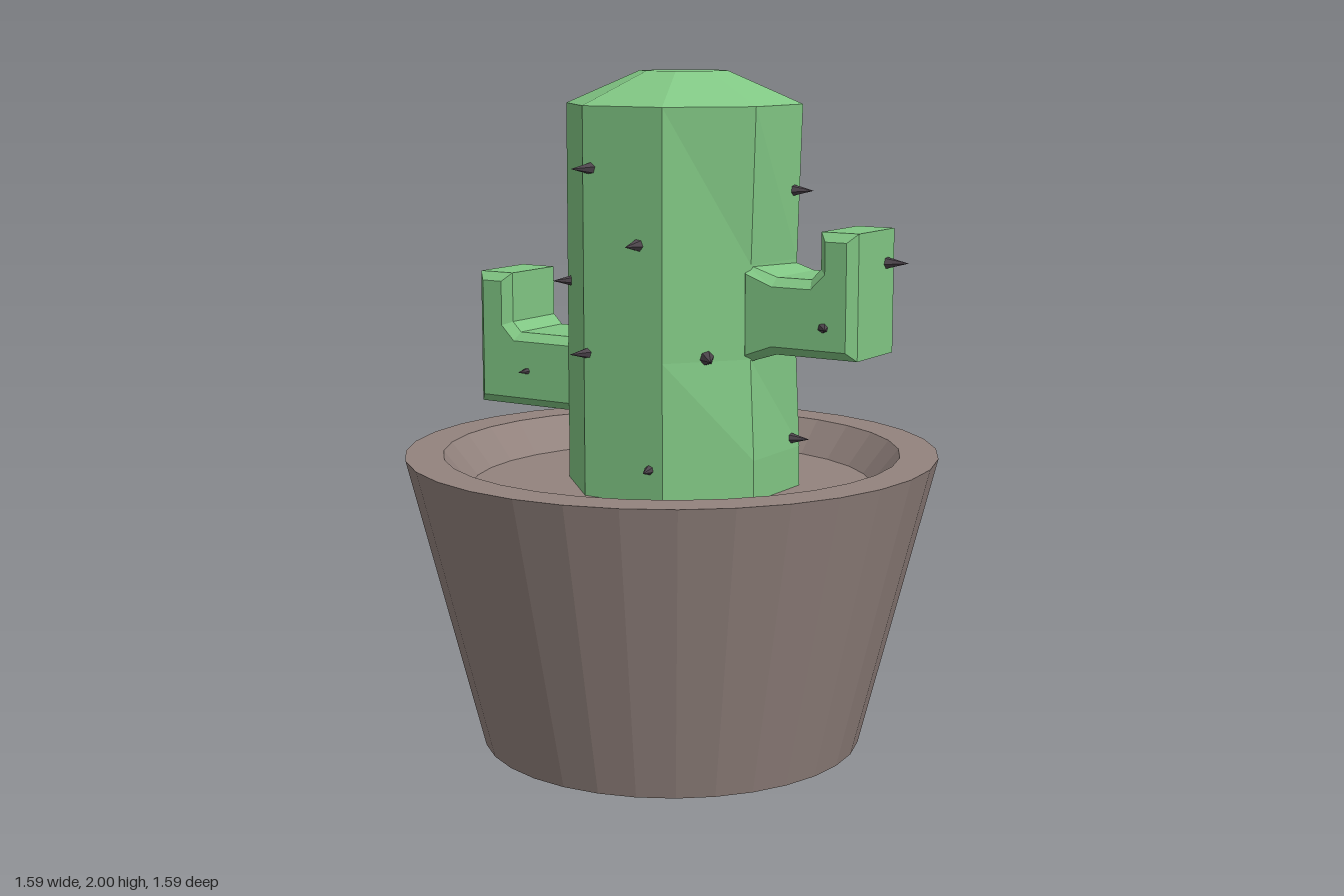
import * as THREE from 'three';

const CX = 0.03, CZ = -0.03; // axis of the plant, slightly off the pot's centre
const mat = (color) => new THREE.MeshStandardMaterial({ color, flatShading: true });
const clay = mat(0x93837e), green = mat(0x81c784), dark = mat(0x4d454c);

function lathe(name, profile, sides, material) {
  const points = profile.map(([r, y]) => new THREE.Vector2(r, y));
  const mesh = new THREE.Mesh(new THREE.LatheGeometry(points, sides), material);
  mesh.name = name;
  return mesh;
}

// L-shaped bevelled arm; distances run outward from the trunk axis
function makeArm(name, { angle, bottom, shelf, top, inner, outer, flare }) {
  const shape = new THREE.Shape([
    [0.27, bottom - flare], [0.38, bottom], [outer, bottom], [outer, top], [inner, top],
    [inner, shelf + 0.03], [inner - 0.03, shelf], [0.38, shelf], [0.27, shelf + flare],
  ].map(([d, y]) => new THREE.Vector2(d, y)));
  const bevel = 0.025, width = 0.265;
  const geometry = new THREE.ExtrudeGeometry(shape, {
    depth: width - 2 * bevel, bevelThickness: bevel, bevelSize: bevel,
    bevelOffset: -bevel, bevelSegments: 1,
  });
  geometry.translate(0, 0, bevel - width / 2);
  const arm = new THREE.Mesh(geometry, green);
  arm.name = name;
  arm.position.set(CX, 0, CZ);
  arm.rotation.y = angle;
  return arm;
}

export function createModel() {
  const model = new THREE.Group();
  model.name = 'pottedCactus';

  // Pot with a sunken soil surface
  model.add(lathe('pot', [
    [0, 0], [0.57, 0], [0.793, 0.88], [0.68, 0.88], [0.6, 0.78], [0, 0.78],
  ], 32, clay));

  // Eight-sided trunk with a chamfered top
  const trunk = lathe('trunk', [
    [0.35, 0.77], [0.35, 0.9], [0.35, 1.19], [0.35, 1.46], [0.35, 1.905], [0.13, 2], [0, 2],
  ], 8, green);
  trunk.position.set(CX, 0, CZ);
  // Pinch the trunk face where the upper arm grows out
  const pos = trunk.geometry.attributes.position;
  for (let i = 0; i < pos.count; i++) {
    const x = pos.getX(i), y = pos.getY(i), z = pos.getZ(i);
    if (y > 1.1 && y < 1.5 && x > 0.2 && z > -0.05) {
      const side = z > 0.1 ? 1 : -1;
      pos.setXYZ(i, x + side * 0.01, y, z - side * 0.025);
      if (side > 0) pos.setX(i, x - 0.015);
    }
  }
  trunk.geometry.computeVertexNormals();
  model.add(trunk);

  // Arms
  model.add(makeArm('leftArm', {
    angle: -Math.PI / 8, bottom: 1.21, shelf: 1.43, top: 1.565, inner: 0.52, outer: 0.637, flare: 0.035,
  }));
  model.add(makeArm('rightArm', {
    angle: Math.PI * 7 / 8, bottom: 0.98, shelf: 1.205, top: 1.385, inner: 0.55, outer: 0.67, flare: 0,
  }));

  // Spines: tip x, y, z and heading in degrees from +x towards +z
  const spines = [
    [-0.24, 1.73, 0.27, 135], [-0.07, 1.52, 0.35, 112], [-0.35, 1.385, 0.04, 158],
    [-0.25, 1.2, 0.26, 135], [0.17, 1.2, 0.33, 72], [-0.02, 0.88, 0.355, 100],
    [0.42, 1.66, 0.03, 15], [0.415, 0.93, 0.025, 15], [0.25, 1.63, -0.37, 300],
    [0.335, 1.43, -0.26, 315], [0.19, 1.195, -0.375, 295], [-0.07, 0.88, -0.41, 255],
    [-0.28, 1.59, -0.24, 220],
    [0.705, 1.47, 0.165, 10], [0.49, 1.3, 0.35, 80],
    [-0.485, 1.09, -0.06, 122], [-0.485, 1.14, -0.44, 255],
  ];
  const length = 0.085;
  const cone = new THREE.ConeGeometry(0.023, length, 6);
  cone.translate(0, -length / 2, 0); // tip at the origin
  const up = new THREE.Vector3(0, 1, 0);
  for (const [x, y, z, heading] of spines) {
    const a = THREE.MathUtils.degToRad(heading);
    const spine = new THREE.Mesh(cone, dark);
    spine.name = 'spine';
    spine.position.set(x, y, z);
    spine.quaternion.setFromUnitVectors(up, new THREE.Vector3(Math.cos(a), 0, Math.sin(a)));
    model.add(spine);
  }
  return model;
}
